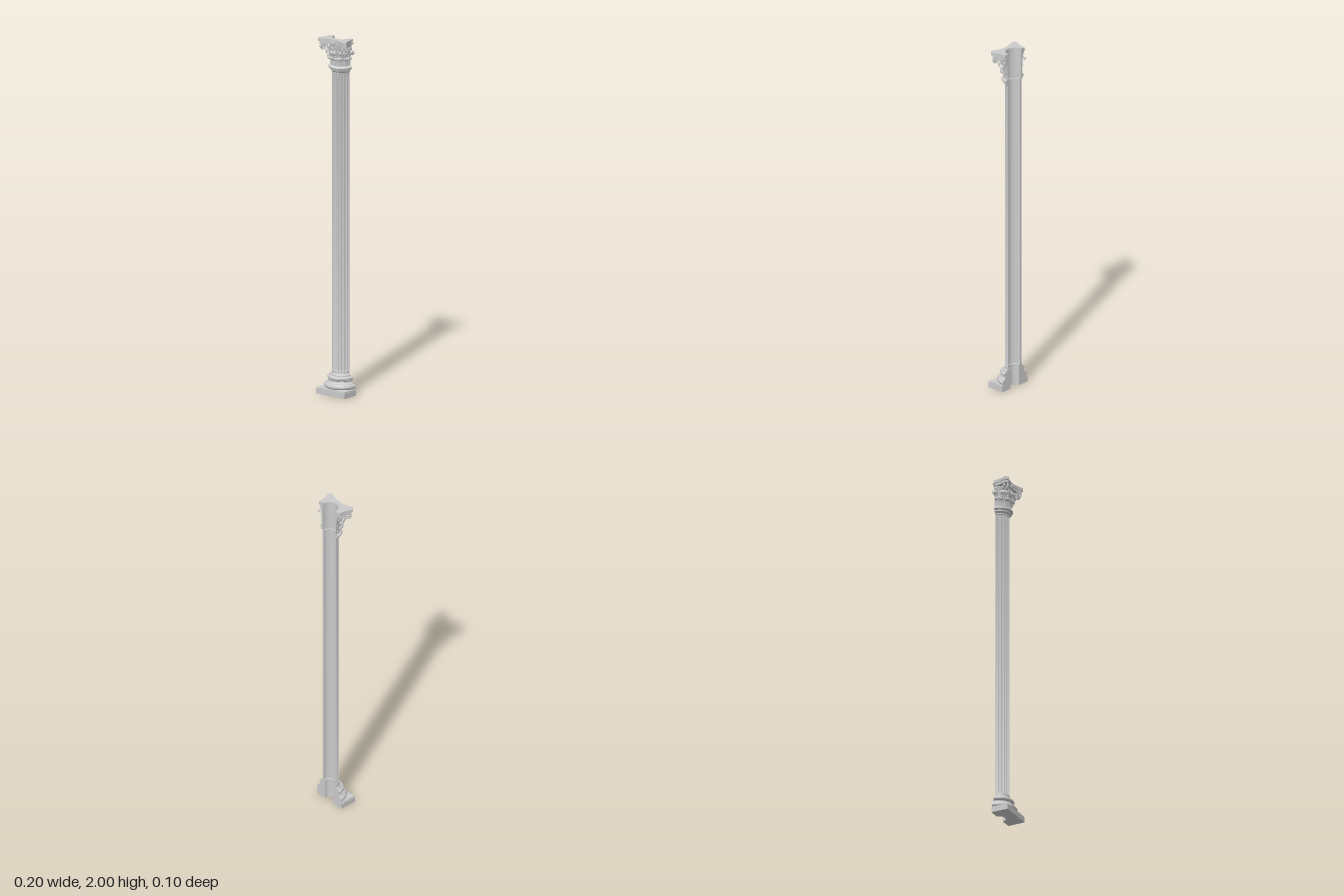
import * as THREE from 'three';
import { mergeGeometries, toCreasedNormals } from 'three/addons/utils/BufferGeometryUtils.js';

const mat = new THREE.MeshStandardMaterial({ color: 0xcccccc, side: THREE.DoubleSide });
const HALF = Math.PI / 2;
const V2 = (p) => new THREE.Vector2(p[0], p[1]);
// angle 0 faces the front, +-90 degrees lies on the cut plane
const polar = (a, r, y) => new THREE.Vector3(r * Math.sin(a), y, r * Math.cos(a));

function add(parent, name, geo) {
  const mesh = new THREE.Mesh(geo, mat);
  mesh.name = name;
  parent.add(mesh);
  return mesh;
}

// Half of a turned ring with a round bore, closed on the cut plane
function halfRing(outer, bore, segs = 40, move = null) {
  const yA = outer[0][1], yB = outer[outer.length - 1][1];
  const pts = [[bore, yA], ...outer, [bore, yB]].map(V2);
  const lathe = new THREE.LatheGeometry([...pts, pts[0].clone()], segs, -HALF, Math.PI);
  if (move) move(lathe.attributes.position);
  const cap = new THREE.ShapeGeometry(new THREE.Shape(pts)).toNonIndexed();
  const other = cap.clone().rotateY(Math.PI);
  return mergeGeometries([toCreasedNormals(lathe, 0.6), cap, other]);
}

// Slab from a plan outline that ends on the cut plane, with a half-round bore
function slab(draw, bore, y0, y1) {
  const s = new THREE.Shape();
  draw(s);
  s.lineTo(-bore, 0);
  s.absarc(0, 0, bore, Math.PI, 0, true);
  s.closePath();
  const g = new THREE.ExtrudeGeometry(s, { depth: y1 - y0, bevelEnabled: false, curveSegments: 20 });
  return toCreasedNormals(g.rotateX(HALF).translate(0, y1, 0), 0.6);
}

const plinthPlan = (w) => (s) => {
  s.moveTo(w, 0); s.lineTo(w, w); s.lineTo(-w, w); s.lineTo(-w, 0);
};

// Concave-sided plan with cut corners
const abacusPlan = (k) => (s) => {
  s.moveTo(0.077 * k, 0);
  s.quadraticCurveTo(0.08 * k, 0.045 * k, 0.1 * k, 0.083 * k);
  s.lineTo(0.083 * k, 0.099 * k);
  s.quadraticCurveTo(0, 0.053 * k, -0.083 * k, 0.099 * k);
  s.lineTo(-0.1 * k, 0.083 * k);
  s.quadraticCurveTo(-0.08 * k, 0.045 * k, -0.077 * k, 0);
};

// Rounded moulding points between two heights
function bulge(y0, y1, r, out, n = 8) {
  return Array.from({ length: n + 1 }, (_, i) => {
    const t = (i / n) * Math.PI;
    return [r + out * Math.sin(t), (y0 + y1) / 2 - ((y1 - y0) / 2) * Math.cos(t)];
  });
}

// Fluted shaft: the outer skin is pressed in by round-ended grooves
function shaft(y0, y1) {
  const flutes = 10, r = 0.0535, end = 0.007, n = 6;
  const outer = [[r, y0]];
  for (let i = 0; i <= n; i++) outer.push([r, y0 + 0.012 + end * (1 - Math.cos((i / n) * HALF))]);
  for (let i = n; i >= 0; i--) outer.push([r, y1 - 0.012 - end * (1 - Math.cos((i / n) * HALF))]);
  outer.push([r, y1]);
  return halfRing(outer, 0.043, flutes * 10, (pos) => {
    for (let i = 0; i < pos.count; i++) {
      const x = pos.getX(i), y = pos.getY(i), z = pos.getZ(i);
      if (Math.hypot(x, z) < 0.05) continue;
      const t = ((Math.atan2(x, z) + HALF) / Math.PI) * flutes;
      const u = (t - Math.floor(t) - 0.5) / 0.4;
      const gap = Math.min(y - y0, y1 - y) - 0.012;
      const v = gap < 0 ? 1 : Math.max(0, 1 - gap / end);
      const k = 1 - (0.0065 / r) * Math.sqrt(Math.max(0, 1 - u * u - v * v));
      pos.setXYZ(i, x * k, y, z * k);
    }
  });
}

// Acanthus leaf that rises along the bell and curls over; halved at the cut plane
function leaf(a, y0, h, r0, reach, halfW) {
  const spine = new THREE.SplineCurve([[0, 0], [0.06, 0.35], [0.2, 0.7], [0.55, 0.95], [0.88, 0.97],
    [1, 0.85], [0.88, 0.75]].map(([r, y]) => new THREE.Vector2(r0 + r * reach, y0 + y * h)));
  const uMin = a < -1.5 ? 0 : -1, uMax = a > 1.5 ? 0 : 1;
  const g = new THREE.PlaneGeometry(1, 1, 12, 24);
  const pos = g.attributes.position;
  for (let i = 0; i < pos.count; i++) {
    const u = uMin + (pos.getX(i) + 0.5) * (uMax - uMin), v = pos.getY(i) + 0.5;
    const p = spine.getPoint(v);
    const lobes = 0.82 + 0.18 * Math.abs(Math.sin(v * Math.PI * 4));
    const w = halfW * lobes * (v < 0.6 ? 0.85 + 0.25 * v : Math.sqrt(Math.max(0.06, 1 - ((v - 0.6) / 0.42) ** 2)));
    const ridge = 0.0022 * Math.cos(u * Math.PI * 3) - 0.003 * u * u * v;
    const q = polar(a + (u * w) / r0, p.x + ridge, p.y - 0.006 * u * u * v);
    pos.setXYZ(i, q.x, q.y, q.z);
  }
  g.computeVertexNormals();
  return g;
}

// Scroll: a stem that rises and winds into a spiral; place maps (s, y) into space
function scroll(stem, cx, cy, r, thick, place) {
  const pts = [...stem];
  for (let i = 0; i <= 20; i++) {
    const t = i / 20, a = Math.PI * (0.75 - 3.4 * t), q = r * (1 - 0.8 * t);
    pts.push([cx + q * Math.cos(a), cy + q * Math.sin(a)]);
  }
  const curve = new THREE.CatmullRomCurve3(pts.map(([s, y]) => place(s, y)));
  return new THREE.TubeGeometry(curve, 60, thick, 7);
}

export function createModel() {
  const model = new THREE.Group();
  model.name = 'halfColumn';
  const body = new THREE.Group();
  body.name = 'column';
  body.position.z = -0.05; // column axis lies on the back plane
  model.add(body);

  // Base
  add(body, 'plinth', slab(plinthPlan(0.1), 0.034, 0, 0.03));
  add(body, 'plinthTop', slab(plinthPlan(0.096), 0.034, 0.03, 0.036));
  add(body, 'baseMoulding', halfRing([
    ...bulge(0.036, 0.064, 0.083, 0.013),
    [0.082, 0.067], [0.076, 0.07], [0.072, 0.076], [0.073, 0.082], [0.076, 0.084],
    ...bulge(0.085, 0.104, 0.07, 0.009),
    [0.066, 0.106], [0.066, 0.111], [0.059, 0.114], [0.055, 0.122],
  ], 0.034));

  add(body, 'shaft', shaft(0.12, 1.82));

  // Collar and capital bell
  add(body, 'collar', halfRing([
    [0.0535, 1.812], [0.057, 1.818], [0.062, 1.821], [0.062, 1.828],
    ...bulge(1.829, 1.847, 0.063, 0.009), [0.058, 1.85],
  ], 0.05));
  add(body, 'bell', halfRing([
    [0.056, 1.845], [0.056, 1.89], [0.058, 1.925], [0.063, 1.95], [0.069, 1.965], [0.069, 1.972],
  ], 0.05));

  // Two rows of leaves
  const leaves = new THREE.Group();
  leaves.name = 'leaves';
  body.add(leaves);
  for (const k of [-1.5, -0.5, 0.5, 1.5]) {
    add(leaves, 'lowerLeaf', leaf(k * HALF / 2, 1.847, 0.054, 0.059, 0.021, 0.022));
  }
  for (const k of [-2, -1, 0, 1, 2]) {
    add(leaves, 'upperLeaf', leaf(k * HALF / 2, 1.85, 0.09, 0.058, 0.03, 0.02));
  }

  // Paired corner volutes and small inner scrolls
  const scrolls = new THREE.Group();
  scrolls.name = 'scrolls';
  body.add(scrolls);
  for (const side of [-1, 1]) {
    for (const d of [-1, 1]) {
      const place = (s, y) => polar(side * HALF / 2 + d * (0.3 - 2.2 * (s - 0.06)) * (s < 0.17 ? 0.5 : 0), s, y);
      add(scrolls, 'cornerVolute', scroll([[0.062, 1.895], [0.068, 1.93], [0.082, 1.954]],
        0.104, 1.951, 0.016, 0.0042, place));
    }
    for (const [centre, dir] of [[0, side], [side * HALF, -side]]) {
      const place = (s, y) => polar(centre + dir * (0.42 - s / 0.072), 0.071, y);
      add(scrolls, 'innerScroll', scroll([[-0.004, 1.9], [0, 1.93], [0.006, 1.948]],
        0.018, 1.946, 0.01, 0.003, place));
    }
  }

  // Abacus in two steps
  add(body, 'abacusLower', slab(abacusPlan(0.94), 0.05, 1.968, 1.983));
  add(body, 'abacusUpper', slab(abacusPlan(1), 0.05, 1.983, 2));

  // Rosettes in the middle of each abacus side; the end ones are halved
  for (const k of [-1, 0, 1]) {
    const rosette = new THREE.Group();
    rosette.name = 'rosette';
    rosette.position.copy(polar(k * HALF, 0.075, 1.981));
    body.add(rosette);
    const [start, span] = k === 0 ? [0, Math.PI * 2] : [0, Math.PI];
    add(rosette, 'bud', new THREE.SphereGeometry(0.009, 16, 10, start, span));
    const petals = k === 0 ? [0, 1, 2, 3, 4, 5] : [-1, 0, 1];
    for (const p of petals) {
      const a = (p * Math.PI) / 3;
      const petal = add(rosette, 'petal', new THREE.SphereGeometry(0.0055, 10, 8));
      if (k === 0) petal.position.set(0.0095 * Math.sin(a), 0.0095 * Math.cos(a), 0);
      else petal.position.set(0, 0.0095 * Math.sin(a), 0.0055 + 0.0055 * Math.cos(a));
    }
  }
  return model;
}
